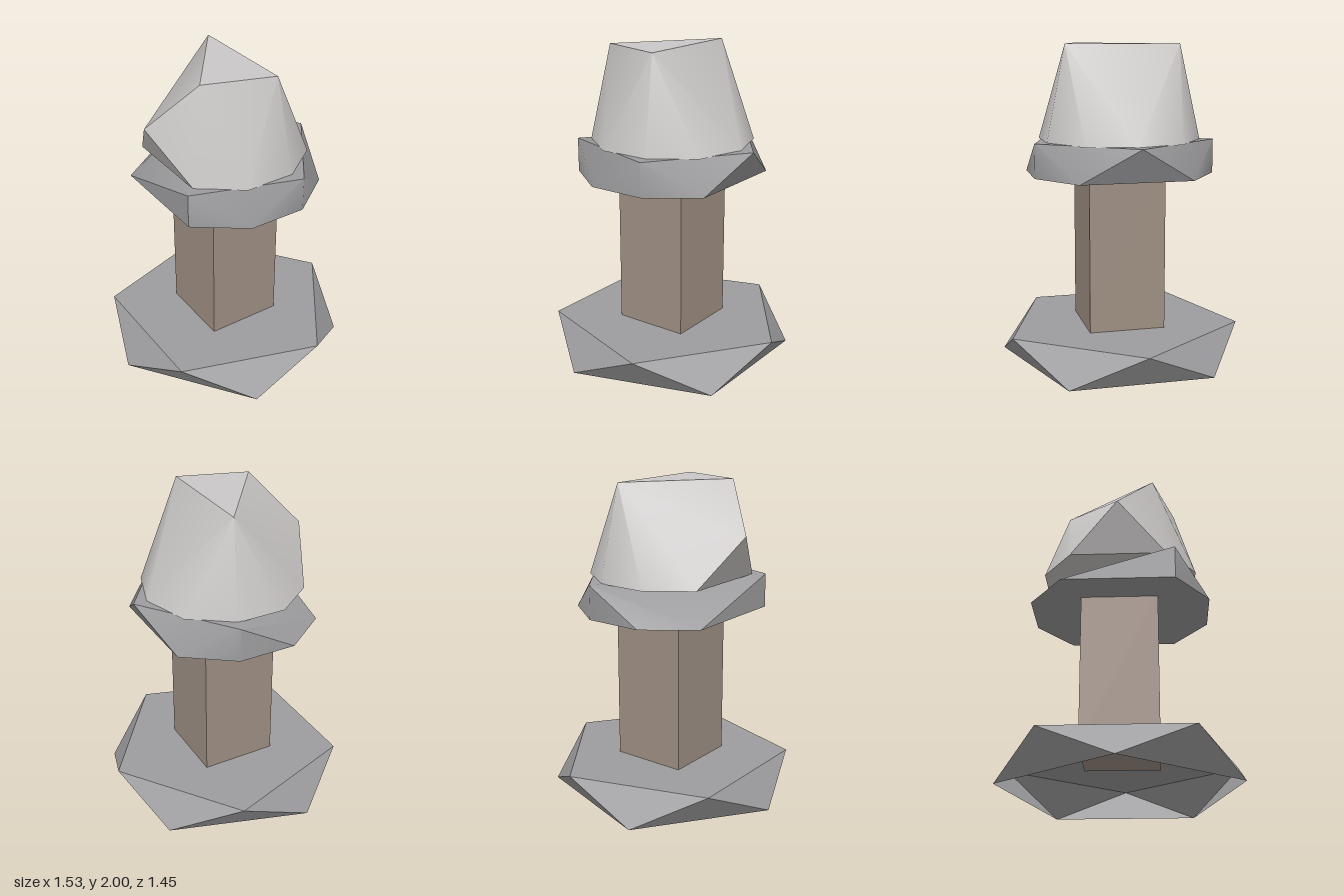
import * as THREE from 'three';
import { ConvexGeometry } from 'three/addons/geometries/ConvexGeometry.js';
import { toCreasedNormals } from 'three/addons/utils/BufferGeometryUtils.js';

const material = (name, color) => new THREE.MeshStandardMaterial({ name, color });

// Corners k of a regular decagon (36 degrees apart) at one height
const ring = (radius, y, corners) => corners.map((k) => {
  const a = (k * Math.PI) / 5;
  return new THREE.Vector3(radius * Math.cos(a), y, radius * Math.sin(a));
});

// Faceted stone block: convex hull with sharp edges kept and shallow ones smoothed
function block(name, points, mat) {
  const mesh = new THREE.Mesh(toCreasedNormals(new ConvexGeometry(points), 0.68), mat);
  mesh.name = name;
  return mesh;
}

// Flat-faced pentagonal antiprism, hollow and open underneath
function openAntiprism(radius, height) {
  const top = ring(radius, height, [0, 2, 4, 6, 8]);
  const low = ring(radius, 0, [1, 3, 5, 7, 9]);
  const centre = new THREE.Vector3(0, height, 0);
  const corners = [];
  for (let i = 0; i < 5; i++) {
    const j = (i + 1) % 5;
    corners.push(top[i], top[j], low[i], low[i], top[j], low[j], centre, top[j], top[i]);
  }
  const geometry = new THREE.BufferGeometry().setFromPoints(corners);
  geometry.computeVertexNormals();
  return geometry;
}

export function createModel() {
  const group = new THREE.Group();
  group.name = 'stonePillar';
  const stone = material('grey stone', 0x9d9c9e);
  stone.side = THREE.DoubleSide;
  const wood = material('brown post', 0x9f9084);
  const pale = material('pale stone', 0xcac8c7);

  // Base
  const base = new THREE.Mesh(openAntiprism(0.764, 0.215), stone);
  base.name = 'base';
  group.add(base);

  // Square post, resting on the top of the base
  const post = new THREE.Mesh(new THREE.BoxGeometry(0.482, 1.02, 0.482), wood);
  post.name = 'post';
  post.position.y = 0.722;
  group.add(post);

  // Collar: lopsided ring stone with one upper corner broken off at the back
  group.add(block('collar', [
    ...ring(0.594, 1.408, [0, 2, 4, 8]),
    ...ring(0.594, 1.195, [1, 2, 3, 4, 6, 7, 8, 9]),
  ], stone));

  // Cap: tapering boulder with a triangular top and one side point
  group.add(block('cap', [
    ...ring(0.51, 1.405, [0, 1, 2, 3, 4, 6, 7, 8, 9]),
    new THREE.Vector3(0.12, 2, 0.362),
    new THREE.Vector3(0.12, 2, -0.362),
    new THREE.Vector3(-0.31, 2, 0.22),
    new THREE.Vector3(-0.553, 1.7, 0),
  ], pale));

  return group;
}
